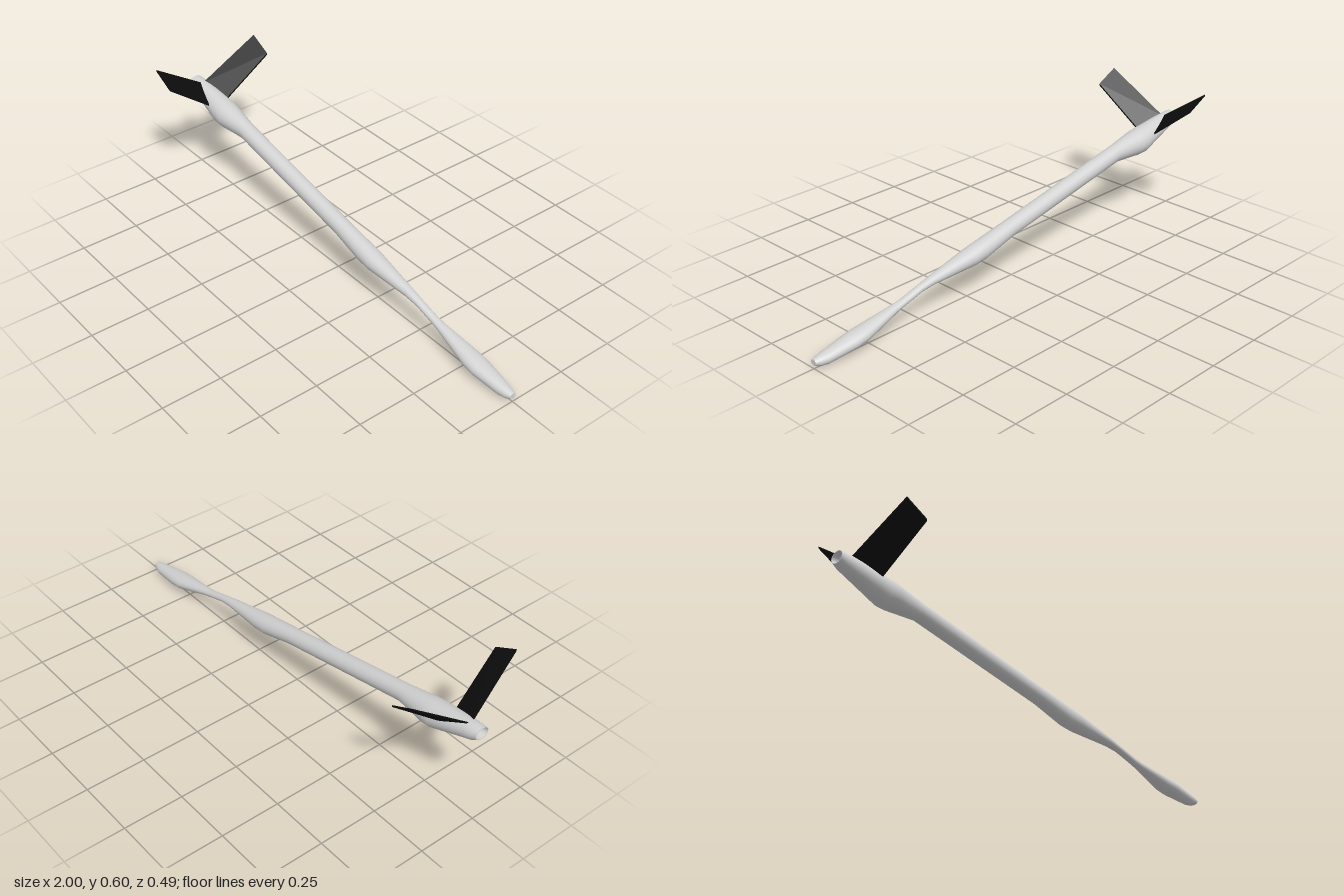
import * as THREE from 'three';
import { ConvexGeometry } from 'three/addons/geometries/ConvexGeometry.js';

// Skin through elliptical cross-sections given as [x, top y, bottom y, half width]
function loft(sections, material, name, sides = 32) {
  const positions = [], index = [];
  for (const [x, top, bottom, half] of sections) {
    for (let j = 0; j < sides; j++) {
      const a = (j / sides) * Math.PI * 2;
      positions.push(x, (top + bottom) / 2 + ((top - bottom) / 2) * Math.cos(a), half * Math.sin(a));
    }
  }
  for (let i = 0; i < sections.length - 1; i++) {
    for (let j = 0; j < sides; j++) {
      const k = (j + 1) % sides;
      const a = i * sides + j, b = i * sides + k, c = a + sides, d = b + sides;
      index.push(a, b, c, b, d, c);
    }
  }
  const geometry = new THREE.BufferGeometry();
  geometry.setAttribute('position', new THREE.Float32BufferAttribute(positions, 3));
  geometry.setIndex(index);
  geometry.computeVertexNormals();
  const mesh = new THREE.Mesh(geometry, material);
  mesh.name = name;
  return mesh;
}

// Section shrunk about its own centre and moved to another x
function scaled([, top, bottom, half], x, s) {
  const c = (top + bottom) / 2, r = ((top - bottom) / 2) * s;
  return [x, c + r, c - r, half * s];
}

export function createModel() {
  const model = new THREE.Group();
  const grey = new THREE.MeshStandardMaterial({ color: 0xd2d2d2 });
  grey.name = 'light grey';
  const black = new THREE.MeshStandardMaterial({ color: 0x0d0d0d });
  black.name = 'black';

  // Long sloping body, tail to nose
  const body = [
    [-1, 0.438, 0.388, 0.031],
    [-0.975, 0.437, 0.372, 0.036],
    [-0.94, 0.435, 0.359, 0.04],
    [-0.79, 0.412, 0.303, 0.057],
    [-0.75, 0.405, 0.301, 0.056],
    [-0.62, 0.379, 0.307, 0.037],
    [0.02, 0.246, 0.176, 0.037],
    [0.17, 0.214, 0.133, 0.043],
    [0.23, 0.201, 0.126, 0.043],
    [0.43, 0.157, 0.12, 0.022],
    [0.49, 0.141, 0.112, 0.018],
    [0.58, 0.115, 0.085, 0.018],
    [0.62, 0.107, 0.073, 0.021],
    [0.78, 0.079, 0.02, 0.042],
    [0.83, 0.071, 0.012, 0.043],
    [0.95, 0.048, 0, 0.029],
    [0.98, 0.042, 0.004, 0.022],
    [1, 0.037, 0.013, 0.014],
  ];
  model.add(loft(body, grey, 'body'));

  // Flat nose tip
  const nose = body[body.length - 1];
  model.add(loft([nose, scaled(nose, 1, 0)], grey, 'noseTip'));

  // Recessed tail opening: floor, wall and rim
  const tail = body[0];
  model.add(loft([scaled(tail, -0.97, 0), scaled(tail, -0.97, 0.85)], grey, 'tailFloor'));
  model.add(loft([scaled(tail, -0.97, 0.85), scaled(tail, -1, 0.9)], grey, 'tailWall'));
  model.add(loft([scaled(tail, -1, 0.9), tail], grey, 'tailRim'));

  // Swept V-tail fins
  const corners = [
    [-0.947, 0.422, 0],
    [-0.835, 0.357, 0.01],
    [-0.807, 0.544, 0.247],
    [-0.903, 0.593, 0.247],
  ];
  for (const side of [1, -1]) {
    const points = corners.flatMap(([x, y, z]) =>
      [-0.004, 0.004].map((t) => new THREE.Vector3(x, y + t, z * side)));
    const fin = new THREE.Mesh(new ConvexGeometry(points), black);
    fin.name = side > 0 ? 'frontFin' : 'backFin';
    model.add(fin);
  }
  return model;
}
